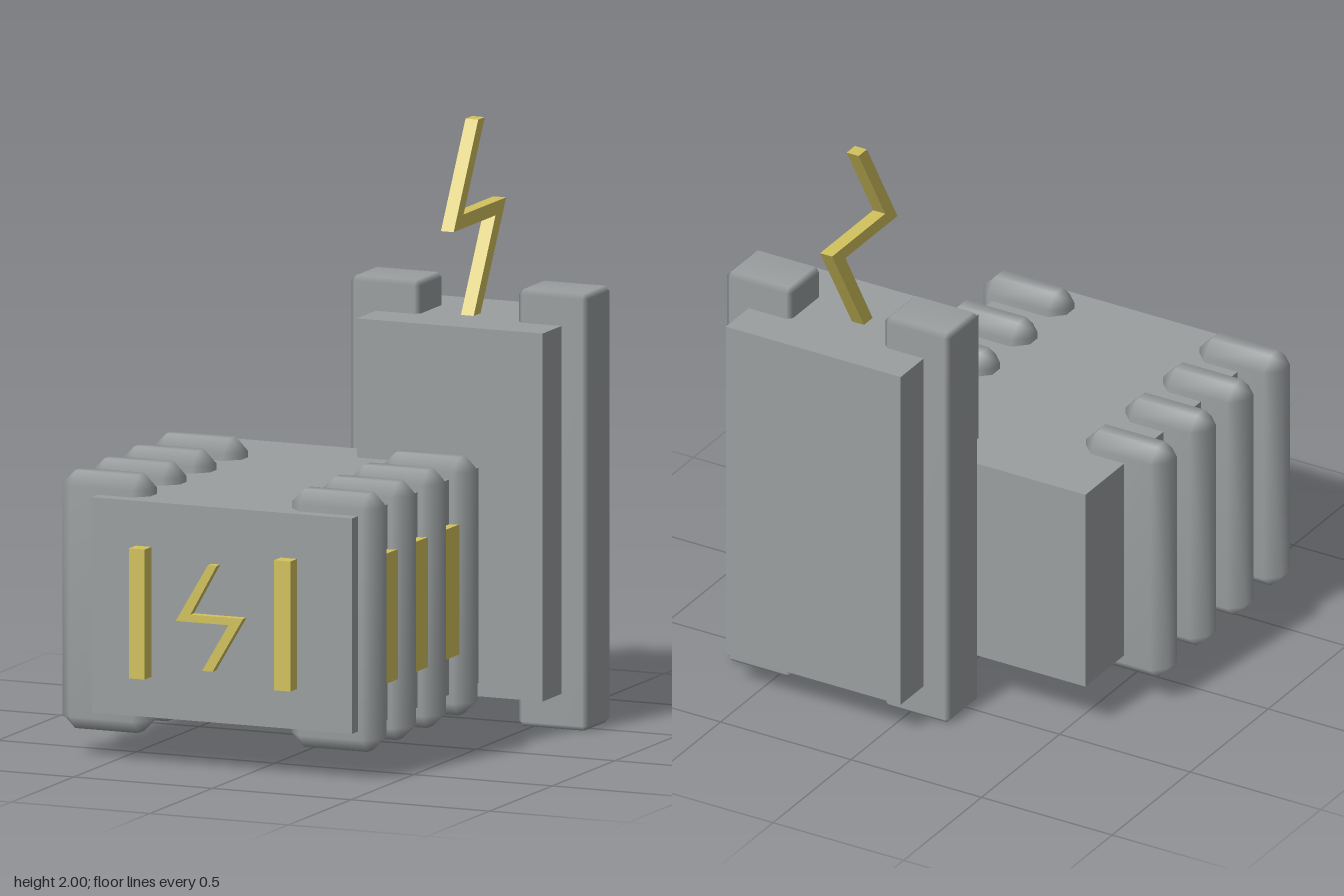
import * as THREE from 'three';
import { mergeVertices } from 'three/addons/utils/BufferGeometryUtils.js';
import { ConvexGeometry } from 'three/addons/geometries/ConvexGeometry.js';

const grey = new THREE.MeshStandardMaterial({ color: 0x9a9e9f });
grey.name = 'grey';
const yellow = new THREE.MeshStandardMaterial({ color: 0xd2c25e });
yellow.name = 'yellow';

function addMesh(parent, name, geometry, material) {
  const mesh = new THREE.Mesh(geometry, material);
  mesh.name = name;
  parent.add(mesh);
  return mesh;
}

// Plain box given by its limits on each axis
function addBox(parent, name, material, [x0, x1], [y0, y1], [z0, z1]) {
  const mesh = addMesh(parent, name, new THREE.BoxGeometry(x1 - x0, y1 - y0, z1 - z0), material);
  mesh.position.set((x0 + x1) / 2, (y0 + y1) / 2, (z0 + z1) / 2);
}

// Box with every edge cut by a single bevel, smooth shaded
function addBevelBox(parent, name, material, [x0, x1], [y0, y1], [z0, z1], bevel) {
  const half = [(x1 - x0) / 2, (y1 - y0) / 2, (z1 - z0) / 2];
  const points = [];
  for (const sx of [-1, 1]) for (const sy of [-1, 1]) for (const sz of [-1, 1]) {
    for (let axis = 0; axis < 3; axis++) {
      const [x, y, z] = half.map((h, i) => (i === axis ? h : h - bevel));
      points.push(new THREE.Vector3(sx * x, sy * y, sz * z));
    }
  }
  let geometry = new ConvexGeometry(points);
  geometry.deleteAttribute('normal');
  geometry = mergeVertices(geometry, 1e-5);
  geometry.computeVertexNormals();
  const mesh = addMesh(parent, name, geometry, material);
  mesh.position.set((x0 + x1) / 2, (y0 + y1) / 2, (z0 + z1) / 2);
}

// Zigzag outline pushed out to a depth
function boltGeometry(outline, depth) {
  const shape = new THREE.Shape(outline.map(([x, y]) => new THREE.Vector2(x, y)));
  return new THREE.ExtrudeGeometry(shape, { depth, bevelEnabled: false });
}

export function createModel() {
  const model = new THREE.Group();
  model.name = 'generator';

  // Main housing and the tower behind it
  addBox(model, 'housing', grey, [-0.56, 0.38], [0.165, 0.885], [-0.435, 0.727]);
  addBox(model, 'tower', grey, [-0.06, 0.61], [0.12, 1.35], [-0.782, -0.285]);

  // Posts on both sides of the tower
  for (const x of [[-0.155, 0.095], [0.45, 0.70]]) {
    addBevelBox(model, 'towerPost', grey, x, [0, 1.46], [-0.635, -0.437], 0.016);
  }

  // Rounded ribs along both sides of the housing
  const ribs = [0.61, 0.375, 0.135, -0.117];
  for (const x of [[-0.705, -0.388], [0.122, 0.44]]) {
    for (const z of ribs) addBevelBox(model, 'rib', grey, x, [0.09, 0.952], [z - 0.07, z + 0.07], 0.045);
  }

  // Lit panels between the ribs
  for (const x of [[-0.595, -0.555], [0.375, 0.411]]) {
    for (let i = 0; i < 3; i++) {
      addBox(model, 'sidePanel', yellow, x, [0.30, 0.735], [ribs[i + 1] + 0.053, ribs[i] - 0.053]);
    }
  }

  // Upright bars on the front
  for (const x of [[-0.40, -0.344], [0.123, 0.182]]) {
    addBox(model, 'frontBar', yellow, x, [0.30, 0.735], [0.72, 0.78]);
  }

  // Zigzag emblem on the front
  const emblem = boltGeometry([
    [-0.127, 0.695], [-0.095, 0.695], [-0.19, 0.525], [0, 0.525],
    [-0.11, 0.34], [-0.148, 0.34], [-0.053, 0.5], [-0.243, 0.5],
  ], 0.035);
  addMesh(model, 'frontZigzag', emblem, yellow).position.z = 0.72;

  // Zigzag antenna on the tower
  const antenna = boltGeometry([
    [0.52, 2], [0.573, 2], [0.403, 1.703], [0.743, 1.703],
    [0.53, 1.335], [0.475, 1.335], [0.658, 1.657], [0.324, 1.657],
  ], 0.046);
  antenna.rotateY(Math.PI / 2);
  addMesh(model, 'zigzagAntenna', antenna, yellow).position.x = 0.226;

  return model;
}
